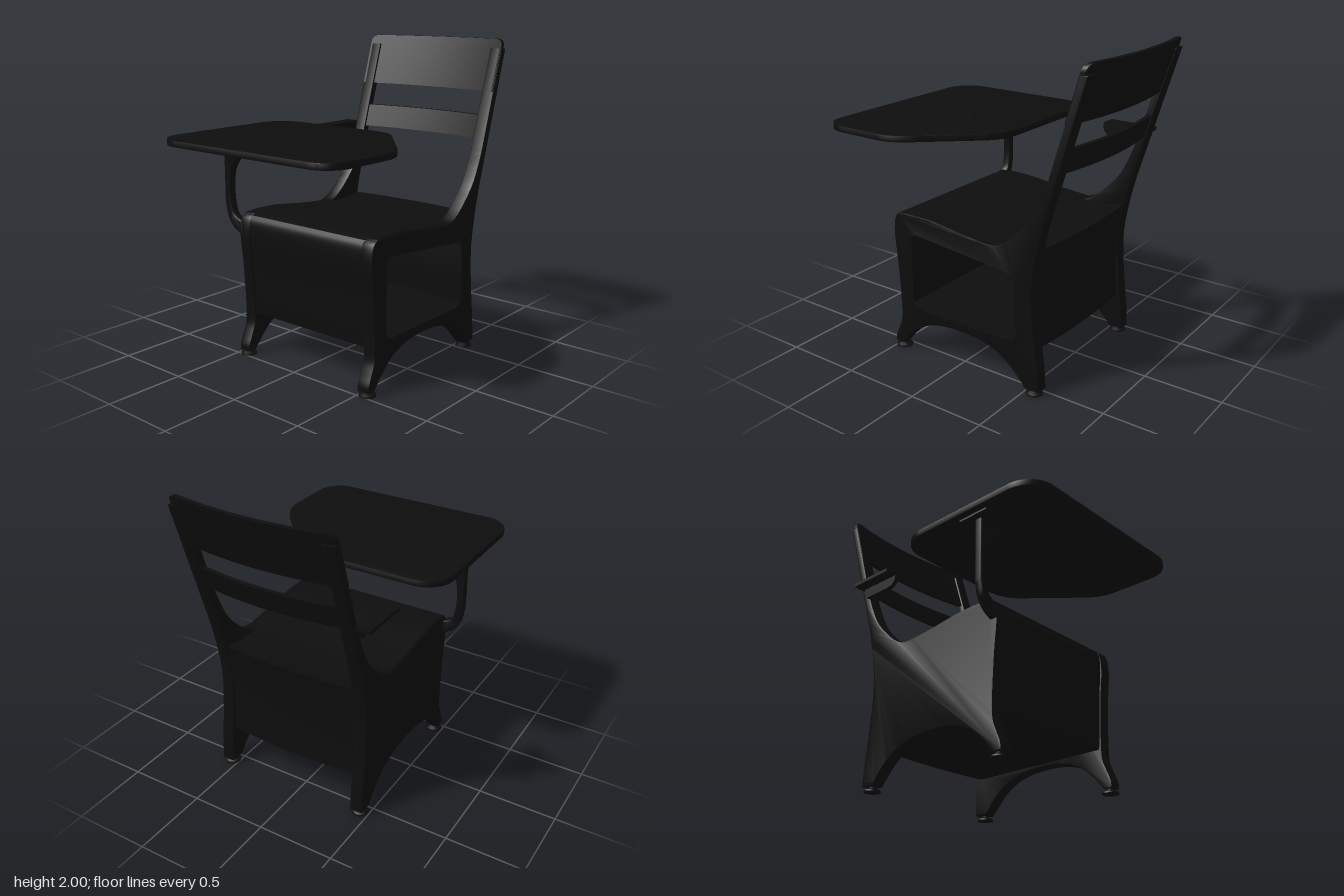
import * as THREE from 'three';
import { toCreasedNormals } from 'three/addons/utils/BufferGeometryUtils.js';

const black = new THREE.MeshStandardMaterial({ color: 0x0d0d0d });
const CENTER_X = 0.055; // the chair body sits slightly off the desk's middle

function addMesh(parent, name, geometry, crease = 0.6) {
  const mesh = new THREE.Mesh(toCreasedNormals(geometry, crease), black);
  mesh.name = name;
  parent.add(mesh);
  return mesh;
}

// Closed outline from smooth runs of points; runs meet in sharp corners.
function outline(runs, Type = THREE.Shape) {
  const pts = [];
  for (const run of runs) {
    const v = run.map(([x, y]) => new THREE.Vector3(x, y, 0));
    const smooth = v.length > 2
      ? new THREE.CatmullRomCurve3(v, false, 'centripetal').getPoints((v.length - 1) * 5) : v;
    for (const p of smooth) {
      const last = pts[pts.length - 1];
      if (!last || last.distanceTo(p) > 1e-4) pts.push(new THREE.Vector2(p.x, p.y));
    }
  }
  return new Type(pts);
}

// Extrude a (z, y) side outline across x from x0 to x1.
function extrudeAcross(shape, x0, x1, steps = 1, bevel = 0) {
  const g = new THREE.ExtrudeGeometry(shape, {
    depth: x1 - x0 - 2 * bevel, steps, bevelEnabled: bevel > 0,
    bevelSize: bevel, bevelThickness: bevel, bevelOffset: -bevel, bevelSegments: 2,
  });
  return g.rotateY(-Math.PI / 2).translate(x1 - bevel, 0, 0);
}

// Side frame: legs, arch, seat edge and back post in one outline.
function sideOutline() {
  return outline([
    [[0.42, 0.935], [0.455, 0.91], [0.475, 0.82], [0.457, 0.6], [0.442, 0.34], [0.445, 0.21],
      [0.47, 0.14], [0.498, 0.07], [0.5, 0.03]],
    [[0.5, 0.03], [0.44, 0.03]],
    [[0.44, 0.03], [0.37, 0.11], [0.29, 0.18], [0.165, 0.235], [-0.045, 0.257], [-0.257, 0.23],
      [-0.38, 0.17], [-0.47, 0.087], [-0.52, 0.03]],
    [[-0.52, 0.03], [-0.612, 0.035]],
    [[-0.612, 0.035], [-0.605, 0.15], [-0.577, 0.39], [-0.56, 0.6], [-0.564, 0.73], [-0.588, 0.88],
      [-0.627, 1.05], [-0.706, 1.315]],
    [[-0.706, 1.315], [-0.894, 1.94]],
    [[-0.894, 1.94], [-0.842, 1.94]],
    [[-0.842, 1.94], [-0.648, 1.31]],
    [[-0.648, 1.31], [-0.602, 1.2], [-0.548, 1.1], [-0.47, 1.01], [-0.373, 0.925], [-0.29, 0.888],
      [-0.07, 0.902], [0.19, 0.935], [0.42, 0.935]],
  ]);
}

// Curved back slat: a bent, leaning box with optional rounded top corners.
function slat(width, y0, y1, radius) {
  const h = y1 - y0;
  const g = new THREE.BoxGeometry(width, h, 0.03, 24, 30, 1);
  const p = g.attributes.position;
  for (let i = 0; i < p.count; i++) {
    const y = p.getY(i) + (y0 + y1) / 2;
    const u = p.getX(i) / (width / 2);
    const d = Math.max(0, radius - (y1 - y));
    const half = width / 2 - (radius - Math.sqrt(Math.max(0, radius * radius - d * d)));
    const x = u * half;
    const bulge = 0.06 * (1 - (x / 0.535) ** 2);
    p.setXYZ(i, x + CENTER_X, y, p.getZ(i) - 0.872 - 0.31 * (y - 2) - bulge);
  }
  return g;
}

export function createModel() {
  const model = new THREE.Group();
  model.name = 'schoolDeskChair';

  // Side frames: closed on the right, open to the storage box on the left
  addMesh(model, 'rightSide', extrudeAcross(sideOutline(), -0.48, -0.395, 1, 0.008));
  const openSide = sideOutline();
  openSide.holes.push(outline([
    [[0.3, 0.82], [0.335, 0.8], [0.345, 0.76]],
    [[0.345, 0.76], [0.345, 0.36]],
    [[0.345, 0.36], [0.33, 0.32], [0.29, 0.305]],
    [[0.29, 0.305], [-0.39, 0.305]],
    [[-0.39, 0.305], [-0.44, 0.32], [-0.46, 0.36]],
    [[-0.46, 0.36], [-0.45, 0.68]],
    [[-0.45, 0.68], [-0.43, 0.735], [-0.38, 0.755]],
    [[-0.38, 0.755], [0.3, 0.82]],
  ], THREE.Path));
  addMesh(model, 'leftSide', extrudeAcross(openSide, 0.505, 0.59, 1, 0.008));

  // Seat, front panel, floor and back panel wrapped as one hollow shell
  const shell = outline([
    [[0.44, 0.925], [0.38, 0.938], [0.19, 0.938], [-0.07, 0.906], [-0.29, 0.888], [-0.45, 0.888],
      [-0.575, 0.908]],
    [[-0.575, 0.908], [-0.55, 0.74], [-0.54, 0.5], [-0.55, 0.275]],
    [[-0.55, 0.275], [0.425, 0.275]],
    [[0.425, 0.275], [0.432, 0.34], [0.447, 0.6], [0.467, 0.81], [0.46, 0.89], [0.44, 0.925]],
  ]);
  shell.holes.push(outline([
    [[0.41, 0.9], [0.19, 0.908], [-0.07, 0.876], [-0.29, 0.858], [-0.54, 0.865]],
    [[-0.54, 0.865], [-0.525, 0.74], [-0.515, 0.5], [-0.525, 0.3]],
    [[-0.525, 0.3], [0.405, 0.3]],
    [[0.405, 0.3], [0.422, 0.6], [0.44, 0.81], [0.41, 0.9]],
  ], THREE.Path));
  const shellGeo = extrudeAcross(shell, -0.47, 0.58, 20);
  const sp = shellGeo.attributes.position;
  for (let i = 0; i < sp.count; i++) { // bow the back outward
    const u = (sp.getX(i) - CENTER_X) / 0.525;
    const k = THREE.MathUtils.smoothstep(-sp.getZ(i), 0.4, 0.53);
    sp.setZ(i, sp.getZ(i) - 0.037 * (1 - u * u) * k);
  }
  addMesh(model, 'seatAndStorageBox', shellGeo);

  // Back slats
  addMesh(model, 'upperBackSlat', slat(1.062, 1.67, 2.0, 0.045));
  addMesh(model, 'lowerBackSlat', slat(1.0, 1.375, 1.52, 0));

  // Foot glides
  for (const x of [-0.44, 0.55]) {
    for (const z of [0.46, -0.56]) {
      const profile = [[0, 0], [0.052, 0], [0.05, 0.01], [0.032, 0.018], [0.022, 0.022], [0.022, 0.05]];
      const glide = addMesh(model, 'footGlide',
        new THREE.LatheGeometry(profile.map(([r, y]) => new THREE.Vector2(r, y)), 20));
      glide.position.set(x, 0, z);
    }
  }

  // Desk top: rounded board with one corner cut away for access
  const top = new THREE.Shape(); // drawn in (x, -z)
  top.moveTo(-0.52, -0.94);
  top.lineTo(0.53, -0.94);
  top.bezierCurveTo(0.63, -0.94, 0.695, -0.87, 0.695, -0.77);
  top.lineTo(0.695, -0.48);
  top.bezierCurveTo(0.695, -0.39, 0.65, -0.32, 0.59, -0.26);
  top.lineTo(0.32, 0.05);
  top.bezierCurveTo(0.27, 0.1, 0.2, 0.13, 0.12, 0.13);
  top.lineTo(-0.52, 0.13);
  top.bezierCurveTo(-0.62, 0.13, -0.7, 0.05, -0.7, -0.05);
  top.lineTo(-0.7, -0.76);
  top.bezierCurveTo(-0.7, -0.86, -0.62, -0.94, -0.52, -0.94);
  const board = new THREE.ExtrudeGeometry(top, {
    depth: 0.032, bevelThickness: 0.004, bevelSize: 0.004, bevelOffset: -0.004,
    bevelSegments: 2, curveSegments: 14,
  });
  addMesh(model, 'deskTop', board.rotateX(-Math.PI / 2).translate(0, 1.411, 0));

  // Desk support arm and mounting plate
  const arm = outline([
    [[-0.61, 1.4], [-0.61, 1.0]],
    [[-0.61, 1.0], [-0.587, 0.9], [-0.54, 0.835], [-0.46, 0.79]],
    [[-0.46, 0.79], [-0.46, 0.885]],
    [[-0.46, 0.885], [-0.53, 0.92], [-0.555, 1.0], [-0.56, 1.1], [-0.545, 1.2], [-0.5, 1.27],
      [-0.46, 1.315], [-0.38, 1.352], [-0.3, 1.365], [-0.22, 1.37], [-0.19, 1.4]],
  ]);
  const armGeo = new THREE.ExtrudeGeometry(arm, {
    depth: 0.026, bevelThickness: 0.014, bevelSize: 0.01, bevelOffset: -0.01, bevelSegments: 3,
  });
  addMesh(model, 'deskSupportArm', armGeo.translate(0, 0, 0.437), 0.9);
  addMesh(model, 'deskMountPlate', new THREE.BoxGeometry(0.46, 0.018, 0.21).translate(-0.425, 1.404, 0.45));

  // Elbow rest: flat plate over a rounded web on the right post
  addMesh(model, 'elbowRestPlate', new THREE.BoxGeometry(0.1, 0.022, 0.32).translate(-0.525, 1.39, -0.542));
  const web = outline([
    [[-0.382, 1.395], [-0.384, 1.36], [-0.41, 1.325], [-0.46, 1.312]],
    [[-0.46, 1.312], [-0.66, 1.312]],
    [[-0.66, 1.312], [-0.69, 1.395]],
  ]);
  addMesh(model, 'elbowRestWeb', extrudeAcross(web, -0.5, -0.47));

  return model;
}
